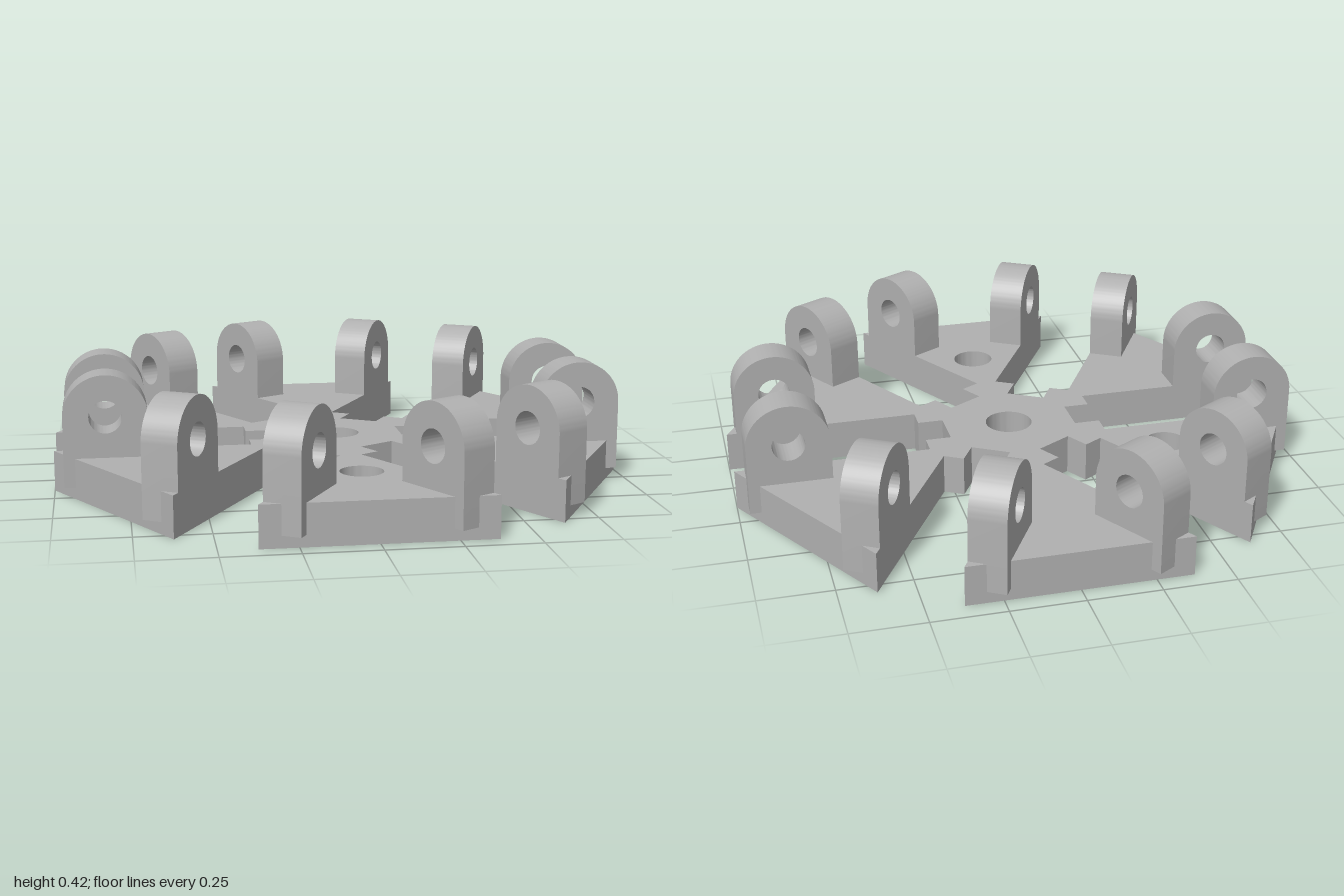
import * as THREE from 'three';
import { toCreasedNormals } from 'three/addons/utils/BufferGeometryUtils.js';

const SLOT = 0.143;      // half width of each slot
const BASE_H = 0.14;     // plate thickness
const LUG_T = 0.127;     // lug thickness
const LUG_R = 0.143;     // lug rounded top radius
const LUG_X = 0.822;     // lug distance along its slot
const LUG_Y = 0.28;      // pin hole height
const LUG_BOTTOM = 0.04;

const hole = (x, y, r) => new THREE.Path().absarc(x, y, r, 0, Math.PI * 2, true);
const extrude = (shape, depth) => toCreasedNormals(
  new THREE.ExtrudeGeometry(shape, { depth, bevelEnabled: false, curveSegments: 32 }), 0.5);

export function createModel() {
  const group = new THREE.Group();
  const grey = new THREE.MeshStandardMaterial({ color: 0xb0b0b0 });
  grey.name = 'grey';

  // Star plate: the same stepped slot repeated every 60 degrees
  const slot = [[1, -SLOT], [0.32, -SLOT], [0.32, -0.07], [0.23, -0.07],
    [0.23, 0.07], [0.32, 0.07], [0.32, SLOT], [1, SLOT]];
  const outline = [];
  for (let i = 0; i < 6; i++) {
    for (const [x, y] of slot) {
      outline.push(new THREE.Vector2(x, y).rotateAround(new THREE.Vector2(), i * Math.PI / 3));
    }
  }
  const plate = new THREE.Shape(outline);
  plate.holes.push(hole(0, 0, 0.083));
  // Screw holes in every second wedge (shape y becomes -z)
  for (const deg of [30, 150, 270]) {
    const a = THREE.MathUtils.degToRad(deg);
    plate.holes.push(hole(0.577 * Math.cos(a), 0.577 * Math.sin(a), 0.073));
  }
  const base = new THREE.Mesh(extrude(plate, BASE_H).rotateX(-Math.PI / 2), grey);
  base.name = 'basePlate';
  group.add(base);

  // Hinge lug: round-topped ear with a pin hole
  const ear = new THREE.Shape();
  ear.moveTo(LUG_X - LUG_R, LUG_BOTTOM);
  ear.lineTo(LUG_X + LUG_R, LUG_BOTTOM);
  ear.lineTo(LUG_X + LUG_R, LUG_Y);
  ear.absarc(LUG_X, LUG_Y, LUG_R, 0, Math.PI, false);
  ear.closePath();
  ear.holes.push(hole(LUG_X, LUG_Y, 0.056));
  const lugGeometry = extrude(ear, LUG_T);

  // A pair of lugs flanks each slot
  for (let i = 0; i < 6; i++) {
    const pair = new THREE.Group();
    pair.name = 'lugPair' + (i + 1);
    for (const z of [SLOT, -SLOT - LUG_T]) {
      const lug = new THREE.Mesh(lugGeometry, grey);
      lug.name = 'hingeLug';
      lug.position.z = z;
      pair.add(lug);
    }
    pair.rotation.y = i * Math.PI / 3;
    group.add(pair);
  }
  return group;
}
